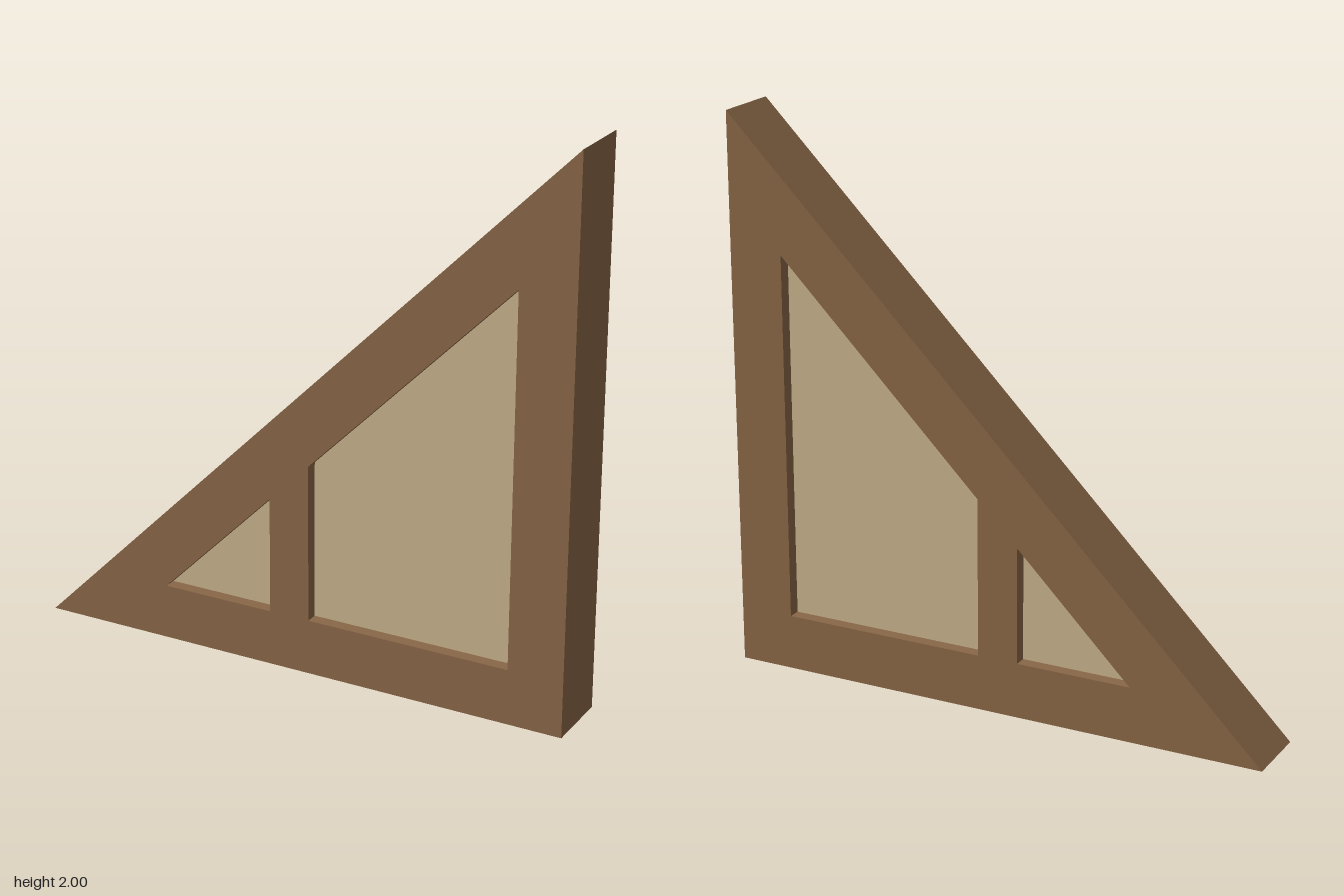
import * as THREE from 'three';

export function createModel() {
  const group = new THREE.Group();
  group.name = 'framedGablePanel';

  const timber = new THREE.MeshStandardMaterial({ color: 0x8a6747 });
  timber.name = 'brown timber';
  const plaster = new THREE.MeshStandardMaterial({ color: 0xc9b28d });
  plaster.name = 'beige plaster';

  const frameDepth = 0.25;
  const panelDepth = 0.16;
  const sillTop = 0.2;
  const underside = (x) => x + 0.72; // lower edge of the sloping beam

  // Extrudes a front outline symmetrically about z = 0
  function addPart(name, points, depth, material) {
    const shape = new THREE.Shape(points.map(([x, y]) => new THREE.Vector2(x, y)));
    const geometry = new THREE.ExtrudeGeometry(shape, { depth, bevelEnabled: false });
    geometry.translate(0, 0, -depth / 2);
    const mesh = new THREE.Mesh(geometry, material);
    mesh.name = name;
    group.add(mesh);
  }

  // Upright or panel standing on the sill, cut to the slope at its top
  function addUpright(name, x0, x1, depth, material) {
    const outline = [[x0, sillTop], [x1, sillTop], [x1, underside(x1)]];
    if (underside(x0) > sillTop + 0.001) outline.push([x0, underside(x0)]);
    addPart(name, outline, depth, material);
  }

  // Outer frame
  addPart('slopingBeam', [[-1, 0], [-0.72, 0], [1, 1.72], [1, 2]], frameDepth, timber);
  addPart('sill', [[-0.72, 0], [1, 0], [1, sillTop], [-0.52, sillTop]], frameDepth, timber);
  addUpright('tallPost', 0.8, 1, frameDepth, timber);
  addUpright('shortPost', -0.1, 0.05, frameDepth, timber);

  // Infill, recessed on both faces
  addUpright('smallPanel', -0.52, -0.1, panelDepth, plaster);
  addUpright('largePanel', 0.05, 0.8, panelDepth, plaster);

  return group;
}
